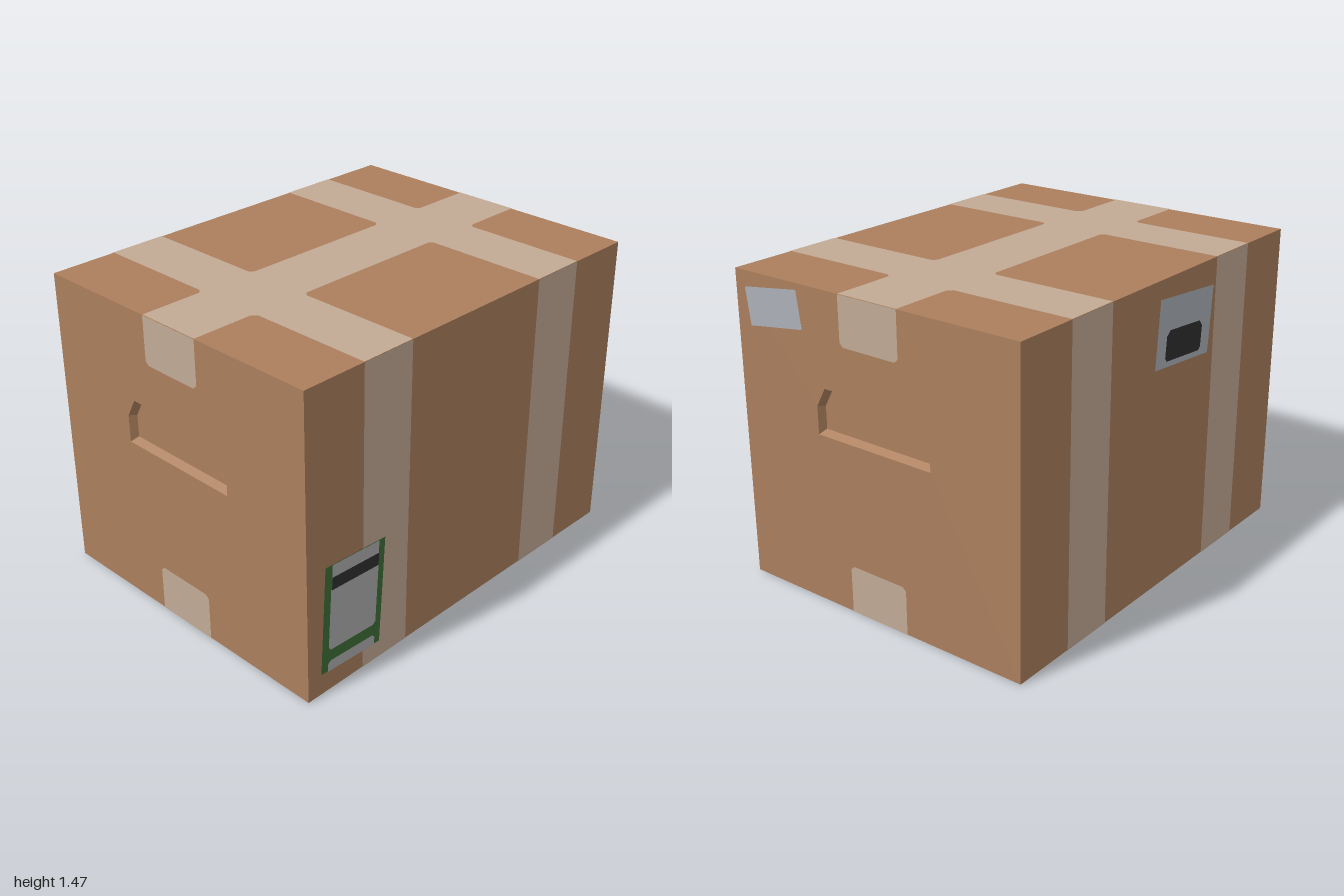
import * as THREE from 'three';

const W = 0.771, H = 1.465, L = 1; // half width, height, half length
const mat = (name, color, side = THREE.DoubleSide) => {
  const m = new THREE.MeshStandardMaterial({ color, side });
  m.name = name;
  return m;
};

export function createModel() {
  const cardboard = mat('cardboard', 0xab7f5d);
  const tape = mat('tape', 0xc2aa95);
  const white = mat('paper white', 0xaeaeb0);
  const grey = mat('sticker grey', 0xacb1b8);
  const green = mat('label green', 0x3e6e38);
  const black = mat('print black', 0x303030);

  const box = new THREE.Group();
  box.name = 'cardboardBox';
  box.position.x = -0.005;

  const toShape = (pts) => new THREE.Shape(pts.map(([x, y]) => new THREE.Vector2(x, y)));
  // flat rectangle, optionally with cut corners at its top or bottom
  const rect = (x0, y0, x1, y1, top = 0, bottom = 0) => toShape([
    [x0 + bottom, y0], [x1 - bottom, y0], [x1, y0 + bottom], [x1, y1 - top],
    [x1 - top, y1], [x0 + top, y1], [x0, y1 - top], [x0, y0 + bottom],
  ].filter((p, i, a) => !i || p[0] !== a[i - 1][0] || p[1] !== a[i - 1][1])
    .filter((p, i, a) => !i || p[0] !== a[0][0] || p[1] !== a[0][1]));
  const add = (parent, name, shape, material, z = 0) => {
    const mesh = new THREE.Mesh(new THREE.ShapeGeometry(shape), material);
    mesh.name = name;
    mesh.position.z = z;
    parent.add(mesh);
    return mesh;
  };
  // one wall of the box; local z points outward
  const wall = (name, turn, dist) => {
    const pivot = new THREE.Group();
    const g = new THREE.Group();
    g.name = name;
    g.position.z = dist;
    pivot.rotation.y = turn;
    pivot.add(g);
    box.add(pivot);
    return g;
  };
  const sticker = (parent, name, x, y, tilt) => {
    const g = new THREE.Group();
    g.name = name;
    g.position.set(x, y, 0.007);
    g.rotation.z = tilt;
    parent.add(g);
    return g;
  };

  // end walls with recessed hand holds and tape ends
  const outer = [[-0.315, 0.81], [0.315, 0.81], [0.315, 0.94], [0.265, 1.03], [-0.265, 1.03], [-0.315, 0.94]];
  const inner = [[-0.3, 0.828], [0.3, 0.828], [0.3, 0.935], [0.255, 1.015], [-0.255, 1.015], [-0.3, 0.935]];
  const depth = 0.035;
  const ends = [['frontWall', 0], ['backWall', Math.PI]].map(([name, turn]) => {
    const g = wall(name, turn, L);
    const panel = rect(-W, 0, W, H);
    panel.holes.push(new THREE.Path(outer.map(([x, y]) => new THREE.Vector2(x, y))));
    add(g, 'endPanel', panel, cardboard);
    add(g, 'handleRecess', toShape(inner), cardboard, -depth);
    const pos = [];
    outer.forEach((a, i) => {
      const j = (i + 1) % outer.length;
      const A = [...a, 0], B = [...outer[j], 0];
      const C = [...inner[j], -depth], D = [...inner[i], -depth];
      pos.push(...A, ...B, ...C, ...A, ...C, ...D);
    });
    const geo = new THREE.BufferGeometry();
    geo.setAttribute('position', new THREE.Float32BufferAttribute(pos, 3));
    geo.computeVertexNormals();
    const rim = new THREE.Mesh(geo, cardboard);
    rim.name = 'handleBevel';
    g.add(rim);
    add(g, 'upperTapeEnd', rect(-0.16, 1.24, 0.16, H, 0, 0.018), tape, 0.002);
    add(g, 'lowerTapeEnd', rect(-0.16, 0, 0.16, 0.228, 0.018, 0), tape, 0.002);
    return g;
  });

  // side walls with two vertical tape bands each
  const sides = [['leftWall', Math.PI / 2], ['rightWall', -Math.PI / 2]].map(([name, turn]) => {
    const g = wall(name, turn, W);
    add(g, 'sidePanel', rect(-L, 0, L, H), cardboard);
    for (const s of [-1, 1]) {
      add(g, 'sideTape', rect(s * 0.5425 - 0.1375, 0, s * 0.5425 + 0.1375, H), tape, 0.002);
    }
    return g;
  });

  // top and bottom with crossing tape
  const q = [[0.16, 0.385], [0.18, 0.405], [W, 0.405], [W, 0.68], [0.18, 0.68], [0.16, 0.7], [0.16, L]];
  const flip = (sx, sy) => q.map(([x, y]) => [x * sx, y * sy]);
  const cross = toShape([...q, ...flip(-1, 1).reverse(), ...flip(-1, -1), ...flip(1, -1).reverse()]);
  for (const [name, y, turn] of [['top', H, -Math.PI / 2], ['bottom', 0, Math.PI / 2]]) {
    const g = new THREE.Group();
    g.name = name;
    g.position.y = y;
    g.rotation.x = turn;
    box.add(g);
    add(g, name + 'Panel', rect(-W, -L, W, L), cardboard);
    add(g, name + 'Tape', cross, tape, 0.002);
  }

  // green shipping label
  const ship = sticker(sides[0], 'shippingLabel', -0.742, 0.362, -0.055);
  add(ship, 'labelBase', rect(-0.175, -0.262, 0.175, 0.262), green);
  add(ship, 'labelHeader', rect(-0.137, 0.2, 0.137, 0.262), white, 0.003);
  add(ship, 'labelStripe', rect(-0.137, 0.143, 0.137, 0.203), black, 0.005);
  add(ship, 'labelField', rect(-0.14, -0.155, 0.14, 0.145, 0, 0.014), white, 0.003);
  add(ship, 'labelFooter', rect(-0.14, -0.262, 0.14, -0.21, 0.014, 0), white, 0.003);

  // grey sticker with black print
  const side = sticker(sides[1], 'sideSticker', 0.148, 1.21, -0.085);
  add(side, 'stickerBase', rect(-0.217, -0.155, 0.217, 0.155), grey);
  add(side, 'stickerPrint', rect(-0.148, -0.128, 0.142, 0.01, 0.025, 0.015), black, 0.003);

  // small plain sticker on the back
  const back = sticker(ends[1], 'backSticker', -0.545, 1.33, 0.14);
  add(back, 'stickerBase', rect(-0.158, -0.086, 0.158, 0.086), grey, -0.003);

  const model = new THREE.Group();
  model.name = 'parcel';
  model.add(box);
  return model;
}
